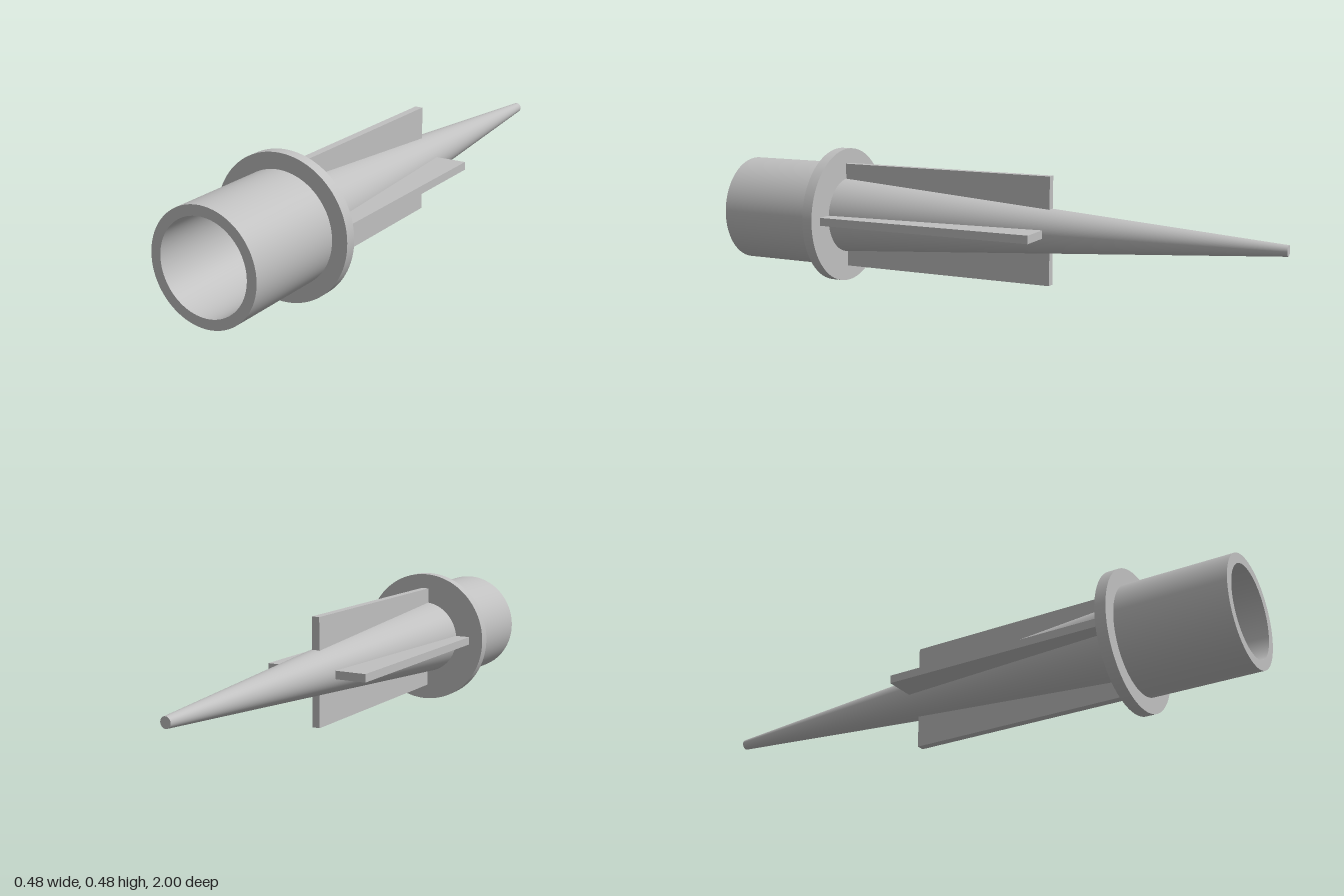
import * as THREE from 'three';
import { mergeGeometries } from 'three/addons/utils/BufferGeometryUtils.js';

const RADIUS = 0.238; // flange radius, also the height of the axis

// Revolve [radius, z] points about the z axis, keeping a sharp edge at each point
function turned(points) {
  const bands = [];
  for (let i = 0; i < points.length - 1; i++) {
    const pair = [points[i], points[i + 1]].map(([r, z]) => new THREE.Vector2(r, z));
    bands.push(new THREE.LatheGeometry(pair, 96));
  }
  return mergeGeometries(bands).rotateX(Math.PI / 2);
}

export function createModel() {
  const model = new THREE.Group();
  model.name = 'finnedSpike';
  const grey = new THREE.MeshStandardMaterial({ color: 0xc0c0c0 });
  grey.name = 'grey';

  const body = new THREE.Group();
  body.name = 'body';
  body.position.y = RADIUS;
  model.add(body);

  function add(name, geometry) {
    const mesh = new THREE.Mesh(geometry, grey);
    mesh.name = name;
    body.add(mesh);
    return mesh;
  }

  // Tapered spike with a small blunt tip at the back
  add('spike', turned([[0, -1], [0.018, -1], [0.132, 0.592]]));

  // Round collar
  add('flange', turned([[0, 0.592], [RADIUS, 0.592], [RADIUS, 0.63], [0.18, 0.63]]));

  // Open socket with a flat floor
  add('socket', turned([[0.185, 0.63], [0.185, 1], [0.152, 1], [0.152, 0.67], [0, 0.67]]));

  // Four fins around the spike, each running from the axis outward
  const finStart = -0.204, finEnd = 0.6, finReach = 0.185;
  for (let i = 0; i < 4; i++) {
    const fin = new THREE.BoxGeometry(finReach, 0.028, finEnd - finStart);
    fin.translate(finReach / 2, 0, (finStart + finEnd) / 2);
    add('fin' + (i + 1), fin).rotation.z = (i * Math.PI) / 2;
  }

  return model;
}
